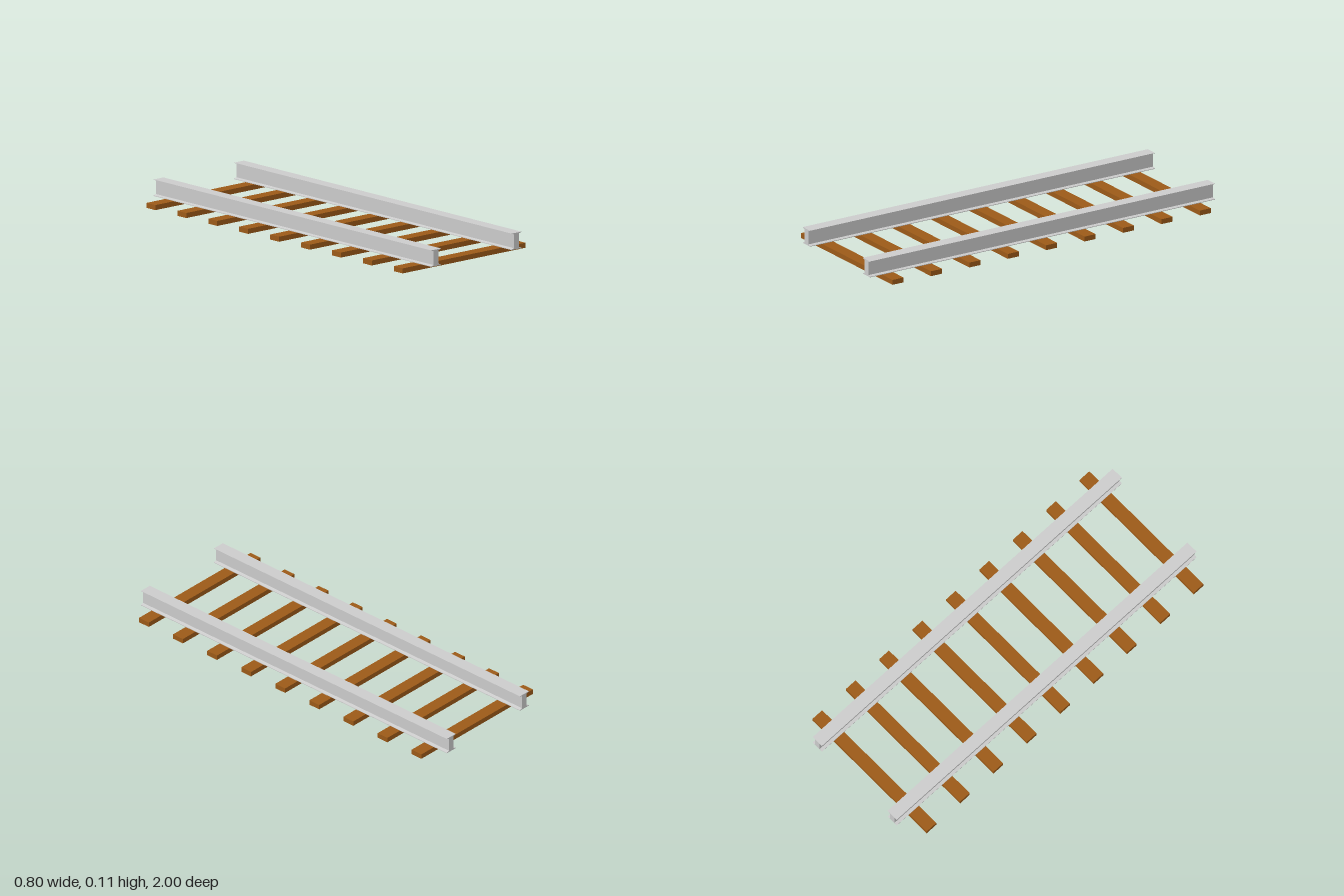
import * as THREE from 'three';

export function createModel() {
  const model = new THREE.Group();
  const steel = new THREE.MeshStandardMaterial({ color: 0xcccccc, flatShading: true });
  const wood = new THREE.MeshStandardMaterial({ color: 0x9c5a18, flatShading: true });

  // I-shaped rail section: right half from bottom to top, then mirrored
  const half = [
    [0.032, 0.025], [0.032, 0.028], [0.016, 0.032],
    [0.016, 0.101], [0.032, 0.105], [0.032, 0.107],
  ];
  const outline = [...half, ...half.map(([x, y]) => [-x, y]).reverse()];
  const section = new THREE.Shape(outline.map(([x, y]) => new THREE.Vector2(x, y)));
  const railGeometry = new THREE.ExtrudeGeometry(section, { depth: 2, bevelEnabled: false });
  railGeometry.translate(0, 0, -1);

  // Two parallel rails
  for (const [name, x] of [['leftRail', 0.278], ['rightRail', -0.246]]) {
    const rail = new THREE.Mesh(railGeometry, steel);
    rail.name = name;
    rail.position.x = x;
    model.add(rail);
  }

  // Evenly spaced wooden sleepers
  const sleeperGeometry = new THREE.BoxGeometry(0.8, 0.025, 0.064);
  for (let i = 0; i < 9; i++) {
    const sleeper = new THREE.Mesh(sleeperGeometry, wood);
    sleeper.name = `sleeper${i + 1}`;
    sleeper.position.set(0, 0.0125, -0.884 + i * 0.2227);
    model.add(sleeper);
  }

  return model;
}
